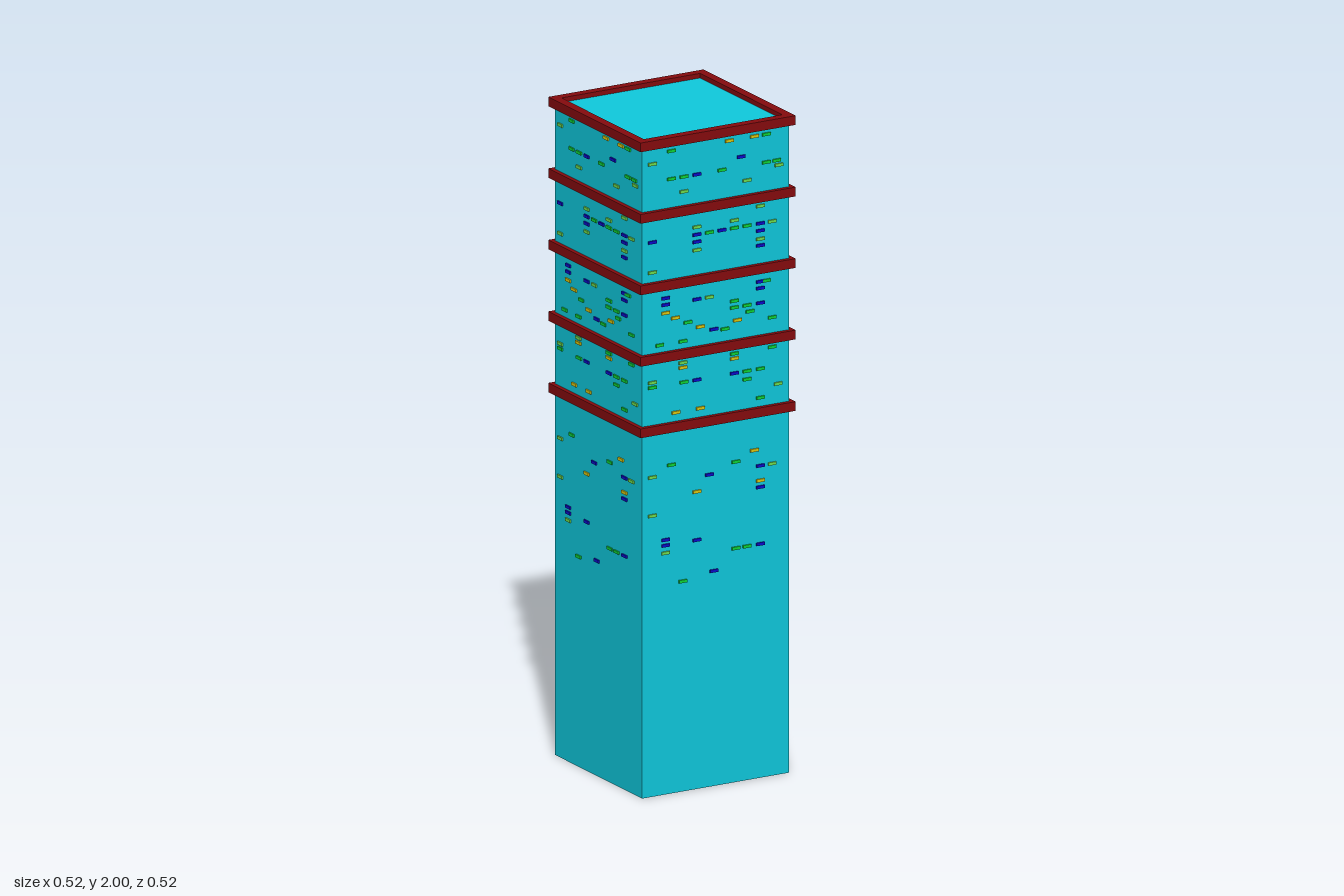
import * as THREE from 'three';
import { mergeGeometries } from 'three/addons/utils/BufferGeometryUtils.js';

const HALF = 0.248;      // half width of the tower
const BEAM = 0.028;      // square section of the ledge beams
const TOP = 2 - BEAM / 2;

const COLORS = { blue: 0x0a0ad0, green: 0x0cd838, yellow: 0xe0cc10, lime: 0x70e050 };

// Lit windows: each row is [height, colour, positions across the wall]
const FLOORS = [
  [
    [1.955, 'green', [-0.15, 0.17]], [1.955, 'yellow', [0.045, 0.13]],
    [1.925, 'lime', [-0.215]], [1.9, 'blue', [0.085]],
    [1.87, 'green', [-0.15, -0.108, 0.02, 0.17, 0.205]], [1.87, 'blue', [-0.065]],
    [1.855, 'lime', [0.212]], [1.825, 'lime', [-0.108, 0.105]],
  ],
  [
    [1.74, 'lime', [0.15]], [1.71, 'lime', [-0.065, 0.062]],
    [1.687, 'blue', [-0.215, -0.065, 0.02, 0.15]], [1.687, 'green', [-0.022, 0.062, 0.105]],
    [1.687, 'lime', [0.19]], [1.665, 'blue', [-0.065, 0.15]],
    [1.64, 'lime', [-0.065, 0.15]], [1.62, 'blue', [0.15]], [1.595, 'lime', [-0.215]],
  ],
  [
    [1.51, 'blue', [-0.17, 0.15]], [1.51, 'green', [0.17]],
    [1.49, 'blue', [-0.17, -0.065, 0.15]], [1.49, 'lime', [-0.022]],
    [1.465, 'yellow', [-0.17]], [1.465, 'green', [0.062]],
    [1.445, 'yellow', [-0.137]], [1.445, 'green', [0.062, 0.105]], [1.445, 'blue', [0.15]],
    [1.425, 'green', [-0.095, 0.115]], [1.405, 'yellow', [-0.053, 0.073]],
    [1.39, 'blue', [-0.007]], [1.385, 'green', [0.03]],
    [1.395, 'green', [0.19]], [1.37, 'green', [-0.19, -0.112]],
  ],
  [
    [1.305, 'lime', [-0.112]], [1.305, 'green', [0.062, 0.19]],
    [1.29, 'yellow', [-0.112, 0.062]], [1.26, 'lime', [-0.215]],
    [1.245, 'green', [-0.215, -0.108, 0.105, 0.15]], [1.245, 'blue', [-0.065, 0.062]],
    [1.22, 'green', [0.105]], [1.19, 'lime', [0.21]],
    [1.157, 'yellow', [-0.135, -0.053]], [1.157, 'green', [0.15]],
  ],
  [
    [1.0, 'green', [-0.15]], [1.0, 'yellow', [0.13]],
    [0.972, 'lime', [-0.215]], [0.975, 'green', [0.067]],
    [0.95, 'blue', [-0.022, 0.15]], [0.95, 'lime', [0.19]],
    [0.905, 'yellow', [-0.065, 0.15]], [0.885, 'blue', [0.15]], [0.855, 'lime', [-0.215]],
    [0.775, 'blue', [-0.17]], [0.758, 'blue', [-0.17, -0.065]], [0.735, 'lime', [-0.17]],
    [0.712, 'green', [0.067, 0.105]], [0.712, 'blue', [0.15]],
    [0.655, 'blue', [-0.007]], [0.64, 'green', [-0.112]],
  ],
];

function box(w, h, d, x, y, z) {
  return new THREE.BoxGeometry(w, h, d).translate(x, y, z);
}

function part(name, geometry, color) {
  const mesh = new THREE.Mesh(geometry, new THREE.MeshStandardMaterial({ color }));
  mesh.name = name;
  return mesh;
}

// One window slab on each of the four walls
function windowSet(p, y) {
  const w = 0.027, h = 0.009, d = 0.01;
  return [-HALF, HALF].flatMap((wall) => [
    box(w, h, d, p, y, wall),
    box(d, h, w, wall, y, p),
  ]);
}

// Square frame of four beams around the walls
function ledgeGeometry(y) {
  const long = 2 * HALF + BEAM, short = 2 * HALF - BEAM;
  return mergeGeometries([-HALF, HALF].flatMap((s) => [
    box(long, BEAM, BEAM, 0, y, s),
    box(BEAM, BEAM, short, s, y, 0),
  ]));
}

export function createModel() {
  const group = new THREE.Group();
  group.name = 'tower';

  // Main shaft
  group.add(part('towerBody', box(2 * HALF, TOP, 2 * HALF, 0, TOP / 2, 0), 0x0fcbdf));

  // Ledges, from the roof rim downwards
  for (let i = 0; i < 5; i++) {
    group.add(part(i === 0 ? 'roofRim' : 'ledge' + i, ledgeGeometry(TOP - i * 0.2175), 0x870b0e));
  }

  // Windows, merged per floor and colour
  FLOORS.forEach((rows, i) => {
    const floor = new THREE.Group();
    floor.name = 'floorWindows' + (i + 1);
    for (const [name, color] of Object.entries(COLORS)) {
      const slabs = rows
        .filter((row) => row[1] === name)
        .flatMap(([y, , spots]) => spots.flatMap((p) => windowSet(p, y)));
      if (slabs.length) floor.add(part(name + 'Windows', mergeGeometries(slabs), color));
    }
    group.add(floor);
  });

  return group;
}
